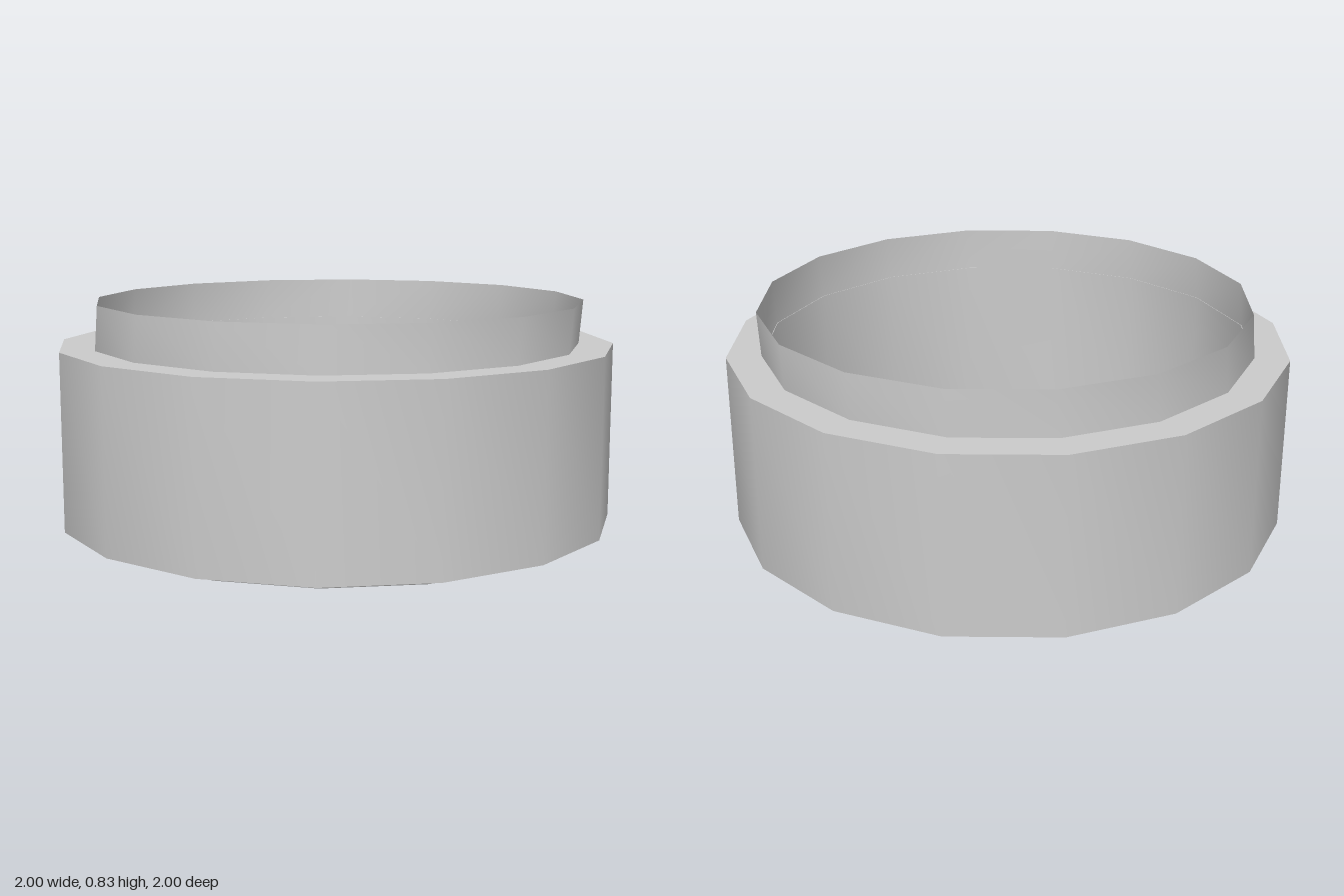
import * as THREE from 'three';
import { toCreasedNormals } from 'three/addons/utils/BufferGeometryUtils.js';

const SIDES = 16;
const material = new THREE.MeshStandardMaterial({ color: 0xcccccc, side: THREE.DoubleSide });

// Thin turned part from [radius, height] pairs, smooth around and sharp at the rims
function turned(name, profile) {
  const points = profile.map(([r, y]) => new THREE.Vector2(r, y));
  const geometry = toCreasedNormals(new THREE.LatheGeometry(points, SIDES), 0.5);
  const mesh = new THREE.Mesh(geometry, material);
  mesh.name = name;
  return mesh;
}

export function createModel() {
  const group = new THREE.Group();
  group.name = 'ringHousing';

  // Outer wall, flat rim and inner wall, open underneath
  group.add(turned('body', [[1, 0.043], [1, 0.675], [0.875, 0.675], [0.875, 0.115]]));

  // Thin dished base with a flange reaching the outer wall
  group.add(turned('base', [[0.39, 0.008], [0.89, 0.008], [0.93, 0.075], [1, 0.075]]));

  // Thin collar on the rim, leaning slightly toward the front
  const collar = turned('collar', [[0.877, 0.675], [0.877, 0.832]]);
  const position = collar.geometry.attributes.position;
  for (let i = 0; i < position.count; i++) {
    if (position.getY(i) > 0.8) {
      position.setX(i, position.getX(i) + 0.004);
      position.setZ(i, position.getZ(i) + 0.013);
    }
  }
  group.add(collar);

  // Narrow groove between the base and the window
  group.add(turned('windowGroove', [[0.37, 0.008], [0.37, 0.018], [0.39, 0.018], [0.39, 0.008]]));

  // Window bulging slightly downward
  group.add(turned('window', [0, 0.25, 0.5, 0.75, 1].map((t) => [0.37 * t, 0.008 * t * t])));

  return group;
}
